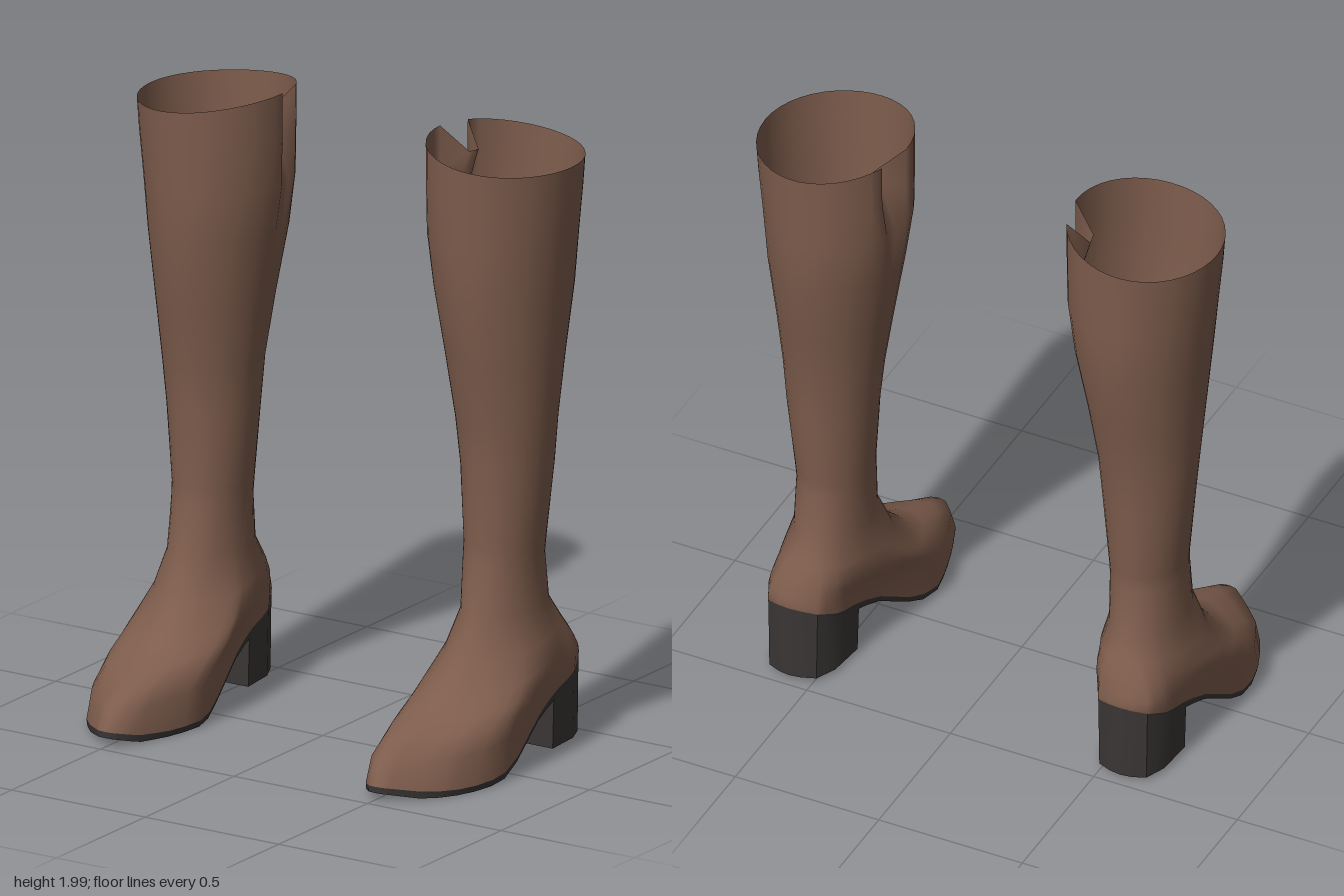
import * as THREE from 'three';
import { toCreasedNormals } from 'three/addons/utils/BufferGeometryUtils.js';

const N = 40; // points around each cross-section
const lerp = THREE.MathUtils.lerp;

// Piecewise linear lookup in rows of [key, value, ...], keys ascending
function lookup(rows, key, col) {
  if (key <= rows[0][0]) return rows[0][col];
  for (let i = 1; i < rows.length; i++) {
    const a = rows[i - 1], b = rows[i];
    if (key <= b[0]) return lerp(a[col], b[col], (key - a[0]) / (b[0] - a[0]));
  }
  return rows[rows.length - 1][col];
}

// Sole outline: z, inner x, outer x
const OUTLINE = [
  [-0.47, 0.555, 0.60], [-0.45, 0.49, 0.66], [-0.38, 0.455, 0.69], [-0.25, 0.44, 0.70],
  [-0.1, 0.41, 0.72], [0.03, 0.385, 0.735], [0.14, 0.36, 0.735], [0.24, 0.38, 0.71],
  [0.34, 0.41, 0.66], [0.42, 0.44, 0.58], [0.47, 0.485, 0.525],
];
// Sole side profile: z, upper edge y, underside y
const PROFILE = [
  [-0.47, 0.28, 0.25], [-0.35, 0.228, 0.2], [-0.25, 0.205, 0.178], [-0.15, 0.165, 0.145],
  [0.0, 0.07, 0.05], [0.08, 0.035, 0.012], [0.25, 0.025, 0.006], [0.38, 0.035, 0.012],
  [0.47, 0.055, 0.035],
];
// Shaft sections: y, front z, back z, inner x, outer x
const SHAFT = [
  [1.95, 0.04, -0.473, 0.295, 0.787], [1.85, 0.035, -0.468, 0.295, 0.78],
  [1.7, 0.028, -0.462, 0.297, 0.765], [1.53, 0.02, -0.455, 0.322, 0.748],
  [1.3, -0.015, -0.41, 0.36, 0.726], [1.1, -0.045, -0.377, 0.39, 0.708],
  [0.95, -0.06, -0.367, 0.405, 0.695], [0.7, -0.06, -0.35, 0.425, 0.668],
];
// Foot sections: front y, back y, front z, back z, inner x, outer x, blend to sole shape, side sag
const FOOT = [
  [0.65, 0.65, -0.052, -0.347, 0.427, 0.665, 0, 0],
  [0.49, 0.49, -0.022, -0.375, 0.432, 0.667, 0, 0],
  [0.35, 0.42, 0.045, -0.418, 0.405, 0.69, 0.25, 0],
  [0.25, 0.38, 0.15, -0.438, 0.38, 0.712, 0.55, 0],
  [0.205, 0.345, 0.24, -0.452, 0.37, 0.725, 0.8, 0.01],
  [0.178, 0.315, 0.34, -0.463, 0.362, 0.733, 1, 0.03],
  [0.125, 0.295, 0.435, -0.47, 0.36, 0.735, 1, 0.05],
];

const angle = (i) => (i / N) * Math.PI * 2; // 0 is the front, then the outer side
const ring = (f) => Array.from({ length: N }, (_, i) => f(angle(i), i));
const soleZ = (t) => 0.47 * Math.cos(t);
const soleX = (z, t) => {
  const s = Math.sin(t);
  if (Math.abs(s) < 1e-6) return (lookup(OUTLINE, z, 1) + lookup(OUTLINE, z, 2)) / 2;
  return lookup(OUTLINE, z, s > 0 ? 2 : 1);
};
const midX = (z) => (lookup(OUTLINE, z, 1) + lookup(OUTLINE, z, 2)) / 2;

// Skin closed rings from top to bottom; side -1 mirrors the result
function loft(rings, side, crease) {
  const pos = [], index = [];
  for (const r of rings) for (const [x, y, z] of r) pos.push(x * side, y, z);
  for (let j = 0; j < rings.length - 1; j++) {
    for (let i = 0; i < N; i++) {
      const k = (i + 1) % N;
      const a = j * N + i, b = j * N + k, c = a + N, d = b + N;
      if (side > 0) index.push(a, c, d, a, d, b);
      else index.push(a, d, c, a, b, d);
    }
  }
  const g = new THREE.BufferGeometry();
  g.setAttribute('position', new THREE.Float32BufferAttribute(pos, 3));
  g.setIndex(index);
  g.computeVertexNormals();
  return crease ? toCreasedNormals(g, crease) : g;
}

// Leather shaft and foot, with an open slit on the inner side of the top edge
function upperRings() {
  const rings = SHAFT.map(([y, zf, zb, xi, xo], j) => ring((t, i) => {
    const s = Math.sin(t);
    let px = (xi + xo) / 2 + s * (xo - xi) / 2;
    let py = y;
    const pz = (zf + zb) / 2 + Math.cos(t) * (zf - zb) / 2;
    if (j === 0) py += 0.05 * ((1 - s) / 2) ** 2;
    if (i === 28 || i === 29) {
      px += [0.08, 0.06, 0.015][j] ?? 0;
      if (j === 0) py -= 0.08;
    }
    return [px, py, pz];
  }));
  for (const [yf, yb, zf, zb, xi, xo, blend, sag] of FOOT) {
    rings.push(ring((t) => {
      const u = Math.cos(t), s = Math.sin(t);
      const round = (xi + xo) / 2 + s * (xo - xi) / 2;
      const x = lerp(round, soleX(soleZ(t), t), blend);
      return [x, lerp(yb, yf, (u + 1) / 2) - sag * s * s, (zf + zb) / 2 + u * (zf - zb) / 2];
    }));
  }
  rings.push(soleRing(1, 1));
  return rings;
}

// Sole outline at its upper (1) or lower (2) edge; width 0 gives the centre line
function soleRing(col, width) {
  return ring((t) => {
    const z = soleZ(t);
    return [lerp(midX(z), soleX(z, t), width), lookup(PROFILE, z, col), z];
  });
}

// Heel block: the back of the sole outline cut off flat at the front
function heelRing(height, width) {
  return ring((t) => {
    const z = Math.min(soleZ(t), -0.252);
    const y = height ?? lookup(PROFILE, z, 1) - 0.004;
    return [lerp(midX(z), soleX(z, t), width), y, z];
  });
}

function createBoot(side, leather, rubber) {
  const boot = new THREE.Group();
  boot.name = side > 0 ? 'leftBoot' : 'rightBoot';
  const add = (name, geometry, material) => {
    const mesh = new THREE.Mesh(geometry, material);
    mesh.name = name;
    boot.add(mesh);
  };
  add('upper', loft(upperRings(), side), leather);
  add('sole', loft([soleRing(1, 0), soleRing(1, 1), soleRing(2, 0.97), soleRing(2, 0)], side, 0.7), rubber);
  add('heel', loft([heelRing(null, 0.99), heelRing(0.02, 0.95), heelRing(0.02, 0)], side, 0.7), rubber);
  return boot;
}

export function createModel() {
  const leather = new THREE.MeshStandardMaterial({ color: 0x7d5c4c, side: THREE.DoubleSide });
  leather.name = 'brown leather';
  const rubber = new THREE.MeshStandardMaterial({ color: 0x3a3535, side: THREE.DoubleSide });
  rubber.name = 'dark rubber';
  const model = new THREE.Group();
  model.name = 'tallBoots';
  for (const side of [1, -1]) model.add(createBoot(side, leather, rubber));
  return model;
}
